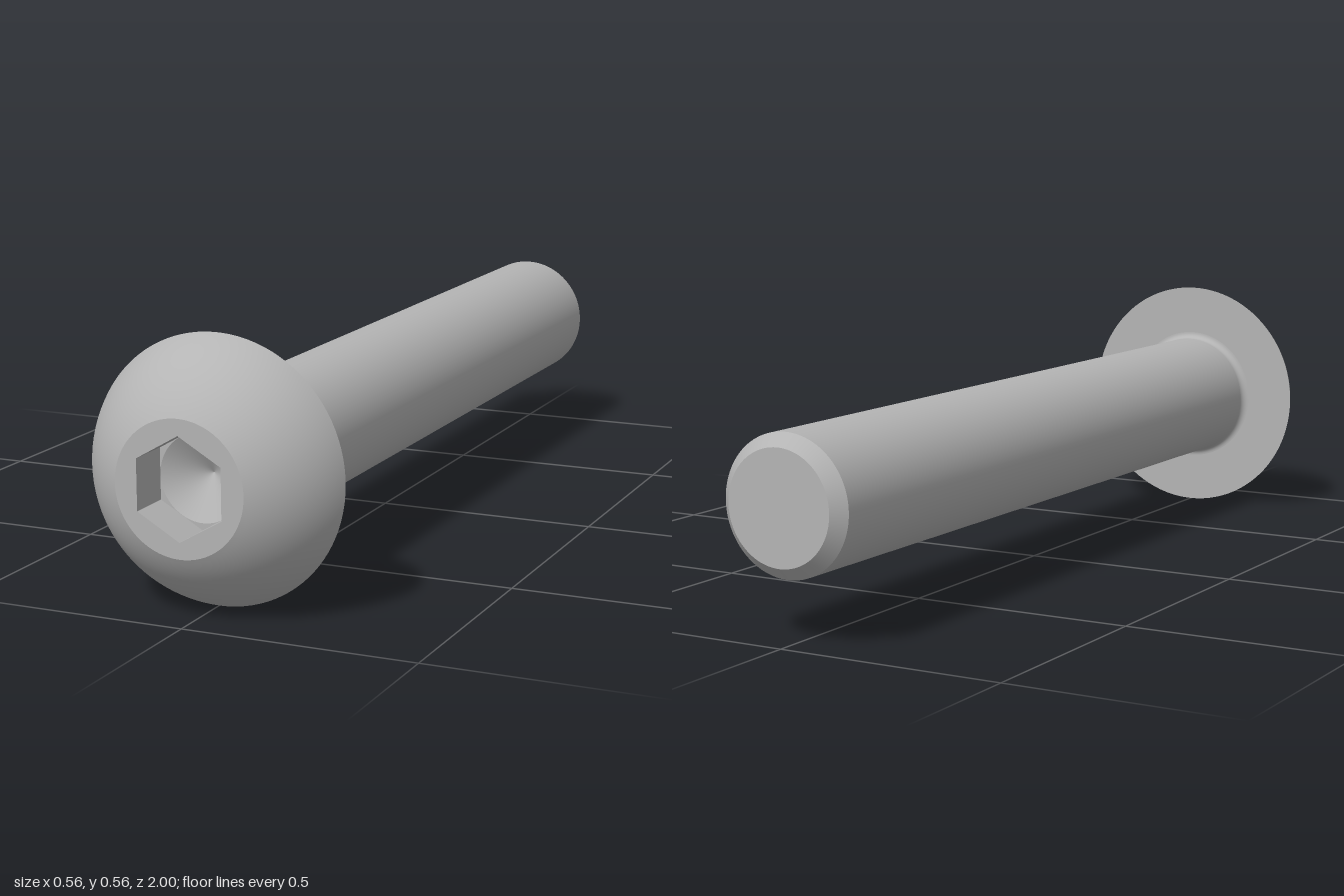
import * as THREE from 'three';

const HEAD_R = 0.28, FACE_R = 0.14, SHANK_R = 0.147, FILLET = 0.016;
const HEAD_Z = 0.84, TIP_Z = -1, CHAMFER = 0.027;
const HEX_R = 0.106, HEX_FLAT = HEX_R * Math.cos(Math.PI / 6);
const SOCKET_Z = 0.905, DRILL_Z = 0.852;

export function createModel() {
  const bolt = new THREE.Group();
  bolt.name = 'bolt';
  const steel = new THREE.MeshStandardMaterial({ color: 0xb4b4b4 });
  steel.name = 'steel grey';

  const add = (name, geometry) => {
    const mesh = new THREE.Mesh(geometry, steel);
    mesh.name = name;
    mesh.position.y = HEAD_R;
    bolt.add(mesh);
  };
  // Surface of revolution about z from [radius, z] pairs
  const turn = (name, profile, segments = 96) => {
    let g = new THREE.LatheGeometry(profile.map(([r, z]) => new THREE.Vector2(r, z)), segments);
    if (segments === 6) {
      g = g.toNonIndexed();
      g.computeVertexNormals();
    }
    add(name, g.rotateX(Math.PI / 2));
  };
  const hexagon = () => Array.from({ length: 6 }, (_, i) => {
    const a = Math.PI / 6 + i * Math.PI / 3;
    return new THREE.Vector2(HEX_R * Math.cos(a), HEX_R * Math.sin(a));
  });
  const circlePath = (r) => new THREE.Path().absarc(0, 0, r, 0, Math.PI * 2, true);

  // Shank with chamfered tip
  turn('tipFace', [[0, TIP_Z], [SHANK_R - CHAMFER, TIP_Z]]);
  turn('tipChamfer', [[SHANK_R - CHAMFER, TIP_Z], [SHANK_R, TIP_Z + CHAMFER]]);
  turn('shank', [[SHANK_R, TIP_Z + CHAMFER], [SHANK_R, HEAD_Z - FILLET]]);

  // Concave fillet between shank and head
  const fillet = [];
  for (let i = 0; i <= 8; i++) {
    const a = i / 8 * Math.PI / 2;
    fillet.push([SHANK_R + FILLET * (1 - Math.cos(a)), HEAD_Z - FILLET * (1 - Math.sin(a))]);
  }
  turn('neckFillet', fillet);
  turn('headUnderside', [[SHANK_R + FILLET, HEAD_Z], [HEAD_R, HEAD_Z]]);

  // Domed head: an arc centred on the axis through the rim and the face edge
  const c = (1 + FACE_R ** 2 - HEAD_Z ** 2 - HEAD_R ** 2) / (2 * (1 - HEAD_Z));
  const R = Math.hypot(HEAD_R, HEAD_Z - c);
  const a0 = Math.atan2(HEAD_Z - c, HEAD_R), a1 = Math.atan2(1 - c, FACE_R);
  const dome = [];
  for (let i = 0; i <= 20; i++) {
    const a = a0 + (a1 - a0) * i / 20;
    dome.push([R * Math.cos(a), c + R * Math.sin(a)]);
  }
  turn('headDome', dome);

  // Flat face around the hexagonal opening
  const face = new THREE.Shape().absarc(0, 0, FACE_R, 0, Math.PI * 2, false);
  face.holes.push(new THREE.Path(hexagon().reverse()));
  add('headFace', new THREE.ShapeGeometry(face, 48).translate(0, 0, 1));

  // Hex socket: walls, corner floor and conical drill point
  turn('socketWalls', [[HEX_R, 1], [HEX_R, SOCKET_Z]], 6);
  const floor = new THREE.Shape(hexagon());
  floor.holes.push(circlePath(HEX_FLAT - 0.0005));
  add('socketFloor', new THREE.ShapeGeometry(floor, 48).translate(0, 0, SOCKET_Z));
  turn('drillPoint', [[HEX_FLAT - 0.0005, SOCKET_Z], [0, DRILL_Z]]);

  return bolt;
}
